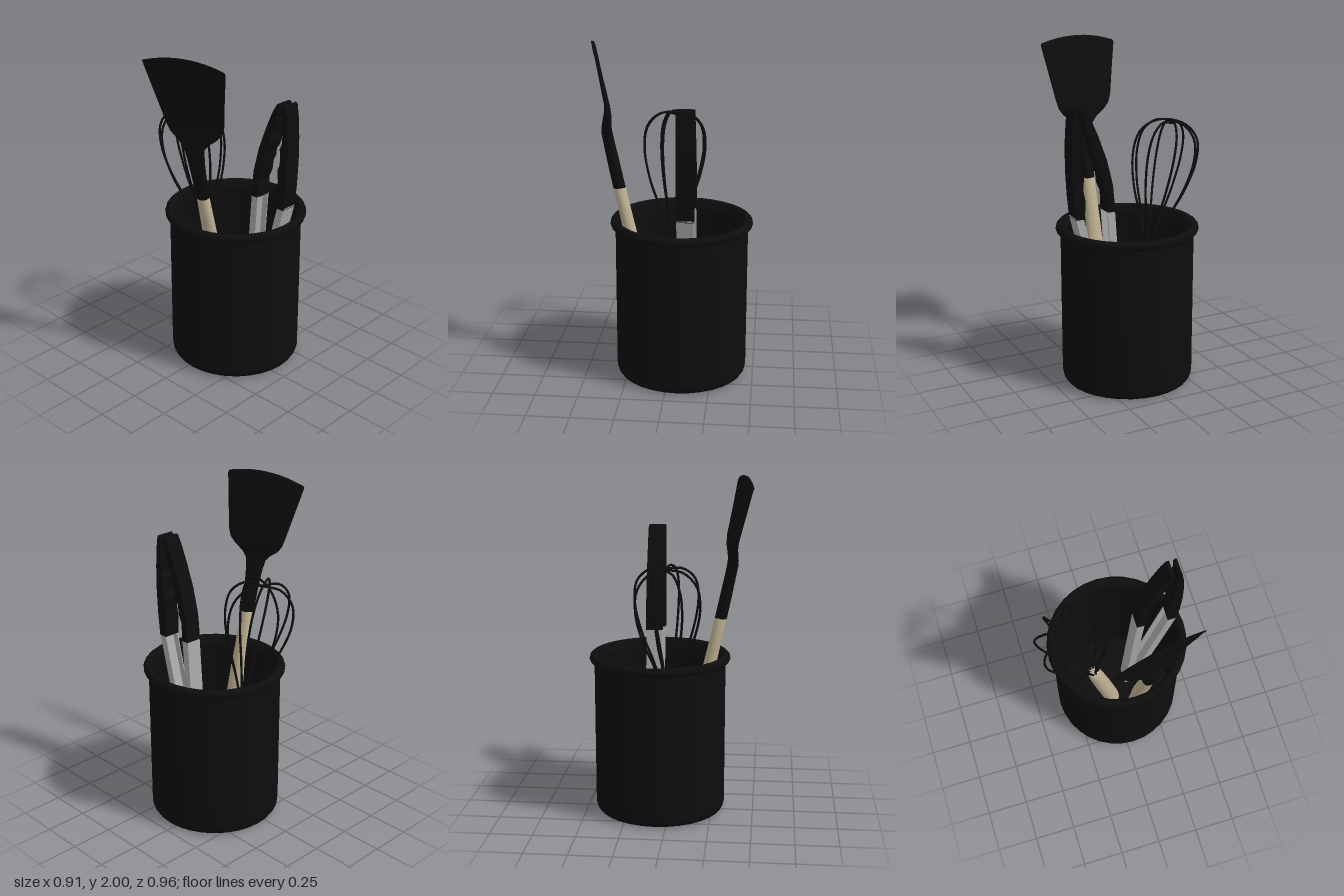
import * as THREE from 'three';

const mat = (color) => new THREE.MeshStandardMaterial({ color, side: THREE.DoubleSide });
const V = (x, y, z) => new THREE.Vector3(x, y, z);
const P = (list) => list.map(([x, y]) => new THREE.Vector2(x, y));

function mesh(name, geometry, material, parent) {
  const m = new THREE.Mesh(geometry, material);
  m.name = name;
  parent.add(m);
  return m;
}

// Skin over oval sections [y, x, z, halfWidth, halfThickness, arch],
// with the width axis turned about y by the given twist.
function loft(sections, twist = 0, n = 32) {
  const pos = [], idx = [];
  const c = Math.cos(twist), s = Math.sin(twist);
  sections.forEach(([y, x, z, w, t, arch = 0], i) => {
    for (let j = 0; j < n; j++) {
      const a = (j / n) * Math.PI * 2;
      const u = Math.cos(a), v = Math.sin(a);
      pos.push(x + u * w * c + v * t * s, y + arch * (1 - u * u) + arch * 0.25 * u, z - u * w * s + v * t * c);
      if (i === 0) continue;
      const k = (j + 1) % n, lo = (i - 1) * n, hi = i * n;
      idx.push(lo + j, hi + j, lo + k, hi + j, hi + k, lo + k);
    }
  });
  const g = new THREE.BufferGeometry();
  g.setAttribute('position', new THREE.Float32BufferAttribute(pos, 3));
  g.setIndex(idx);
  g.computeVertexNormals();
  return g;
}

export function createModel() {
  const root = new THREE.Group();
  root.name = 'utensilCrock';
  const black = mat(0x0d0d0d), wood = mat(0xbcae90), steel = mat(0xaaaaaa);

  // Crock: open pot with rounded foot, and a rolled rim
  const crock = new THREE.Group();
  crock.name = 'crock';
  crock.position.set(0.04, 0, -0.065);
  root.add(crock);
  mesh('crockBody', new THREE.LatheGeometry(P([
    [0, 0], [0.35, 0], [0.375, 0.008], [0.386, 0.025], [0.39, 0.05], [0.39, 0.94],
    [0.365, 0.94], [0.36, 0.9], [0.36, 0.06], [0.34, 0.04], [0, 0.04],
  ]), 32), black, crock);
  const rim = mesh('crockRim', new THREE.TorusGeometry(0.392, 0.027, 12, 32), black, crock);
  rim.rotation.x = Math.PI / 2;
  rim.position.y = 0.94;

  // Whisk: leaning handle with four crossed wire loops
  const whisk = new THREE.Group();
  whisk.name = 'whisk';
  whisk.position.set(-0.13, 0.72, 0.005);
  whisk.rotation.z = 0.197;
  root.add(whisk);
  mesh('whiskHandle', new THREE.LatheGeometry(P([
    [0, -0.66], [0.025, -0.655], [0.043, -0.63], [0.05, -0.57], [0.05, -0.3],
    [0.046, -0.1], [0.04, -0.02], [0.03, 0], [0, 0.005],
  ]), 24), wood, whisk);
  const half = [[0.02, -0.02], [0.045, 0.1], [0.095, 0.25], [0.16, 0.42], [0.196, 0.6], [0.178, 0.73], [0.1, 0.805]];
  for (let i = 0; i < 4; i++) {
    const a = Math.PI * (15 + 45 * i) / 180;
    const at = (r, y) => V(r * Math.cos(a), y, r * Math.sin(a));
    const path = new THREE.CatmullRomCurve3([
      ...half.map(([r, y]) => at(r, y)),
      at(0, 0.826 - i * 0.007),
      ...half.slice().reverse().map(([r, y]) => at(-r, y)),
    ]);
    mesh('whiskWire', new THREE.TubeGeometry(path, 64, 0.0068, 8), black, whisk);
  }

  // Turner: wooden grip, dark neck flaring into a thin twisted blade
  const turner = new THREE.Group();
  turner.name = 'turner';
  root.add(turner);
  mesh('turnerGrip', loft([
    [0.045, 0.12, 0.05, 0, 0], [0.05, 0.12, 0.05, 0.022, 0.018], [0.08, 0.12, 0.058, 0.035, 0.03],
    [0.3, 0.12, 0.105, 0.04, 0.033], [0.6, 0.12, 0.168, 0.05, 0.04], [0.8, 0.12, 0.21, 0.049, 0.04],
    [1.0, 0.12, 0.254, 0.042, 0.037], [1.165, 0.12, 0.29, 0.037, 0.035], [1.166, 0.12, 0.29, 0, 0],
  ]), wood, turner);
  mesh('turnerNeckAndBlade', loft([
    [1.16, 0.12, 0.29, 0, 0], [1.16, 0.12, 0.29, 0.037, 0.036], [1.3, 0.12, 0.32, 0.044, 0.035],
    [1.42, 0.12, 0.345, 0.055, 0.033], [1.48, 0.12, 0.357, 0.068, 0.032], [1.515, 0.118, 0.36, 0.1, 0.028],
    [1.55, 0.116, 0.357, 0.15, 0.024], [1.59, 0.115, 0.352, 0.183, 0.02], [1.64, 0.115, 0.356, 0.2, 0.016, 0.004],
    [1.8, 0.115, 0.392, 0.233, 0.012, 0.02], [1.945, 0.115, 0.423, 0.264, 0.01, 0.036],
    [1.96, 0.115, 0.43, 0.262, 0.008, 0.038], [1.964, 0.115, 0.431, 0.25, 0, 0.036],
  ], 0.19), black, turner);

  // Tongs: two steel channels hinged low in the crock, with scalloped dark jaws
  const tongs = new THREE.Group();
  tongs.name = 'tongs';
  tongs.position.z = -0.113;
  root.add(tongs);
  const depth = 0.1;

  // side = +1 when the channel opens toward +x
  function channel(name, x0, y0, x1, y1, side) {
    const arm = new THREE.Group();
    arm.name = name;
    arm.position.set((x0 + x1) / 2, (y0 + y1) / 2, 0);
    arm.rotation.z = -Math.atan2(x1 - x0, y1 - y0);
    tongs.add(arm);
    const length = Math.hypot(x1 - x0, y1 - y0);
    mesh('channelBack', new THREE.BoxGeometry(0.008, length, depth - 0.004), steel, arm).position.x = side * 0.004;
    for (const s of [-1, 1]) {
      mesh('channelFlange', new THREE.BoxGeometry(0.046, length, 0.006), steel, arm)
        .position.set(side * 0.023, 0, s * (depth / 2 - 0.005));
    }
  }
  channel('leftHandChannel', 0.1, 0.1, 0.167, 1.08, 1);
  channel('rightHandChannel', 0.17, 0.1, 0.412, 1.06, -1);

  const jaws = {
    innerJaw: [
      [0.165, 1.07], [0.18, 1.23], [0.218, 1.38], [0.27, 1.52], [0.318, 1.63], [0.348, 1.68], [0.366, 1.677],
      [0.364, 1.65], [0.34, 1.6], [0.337, 1.55], [0.322, 1.51], [0.304, 1.49], [0.303, 1.44], [0.29, 1.4],
      [0.268, 1.37], [0.265, 1.33], [0.245, 1.29], [0.238, 1.23], [0.216, 1.18], [0.212, 1.07],
    ],
    outerJaw: [
      [0.41, 1.05], [0.423, 1.18], [0.431, 1.33], [0.43, 1.48], [0.422, 1.6], [0.411, 1.675], [0.398, 1.682],
      [0.389, 1.67], [0.393, 1.6], [0.385, 1.55], [0.391, 1.5], [0.388, 1.45], [0.374, 1.42], [0.379, 1.36],
      [0.374, 1.32], [0.36, 1.29], [0.366, 1.22], [0.353, 1.16], [0.356, 1.05],
    ],
  };
  for (const [name, outline] of Object.entries(jaws)) {
    const g = new THREE.ExtrudeGeometry(new THREE.Shape(P(outline)), { depth, bevelEnabled: false });
    mesh(name, g.translate(0, 0, -depth / 2), black, tongs);
  }

  // Hinge pin and pull tab at the closed end
  const pin = mesh('hingePin', new THREE.CylinderGeometry(0.02, 0.02, depth, 16), steel, tongs);
  pin.rotation.x = Math.PI / 2;
  pin.position.set(0.135, 0.13, 0);
  const tab = mesh('pullTab', new THREE.TorusGeometry(0.025, 0.008, 8, 20), black, tongs);
  tab.position.set(0.09, 0.085, 0);
  tab.rotation.y = 0.5;

  return root;
}
